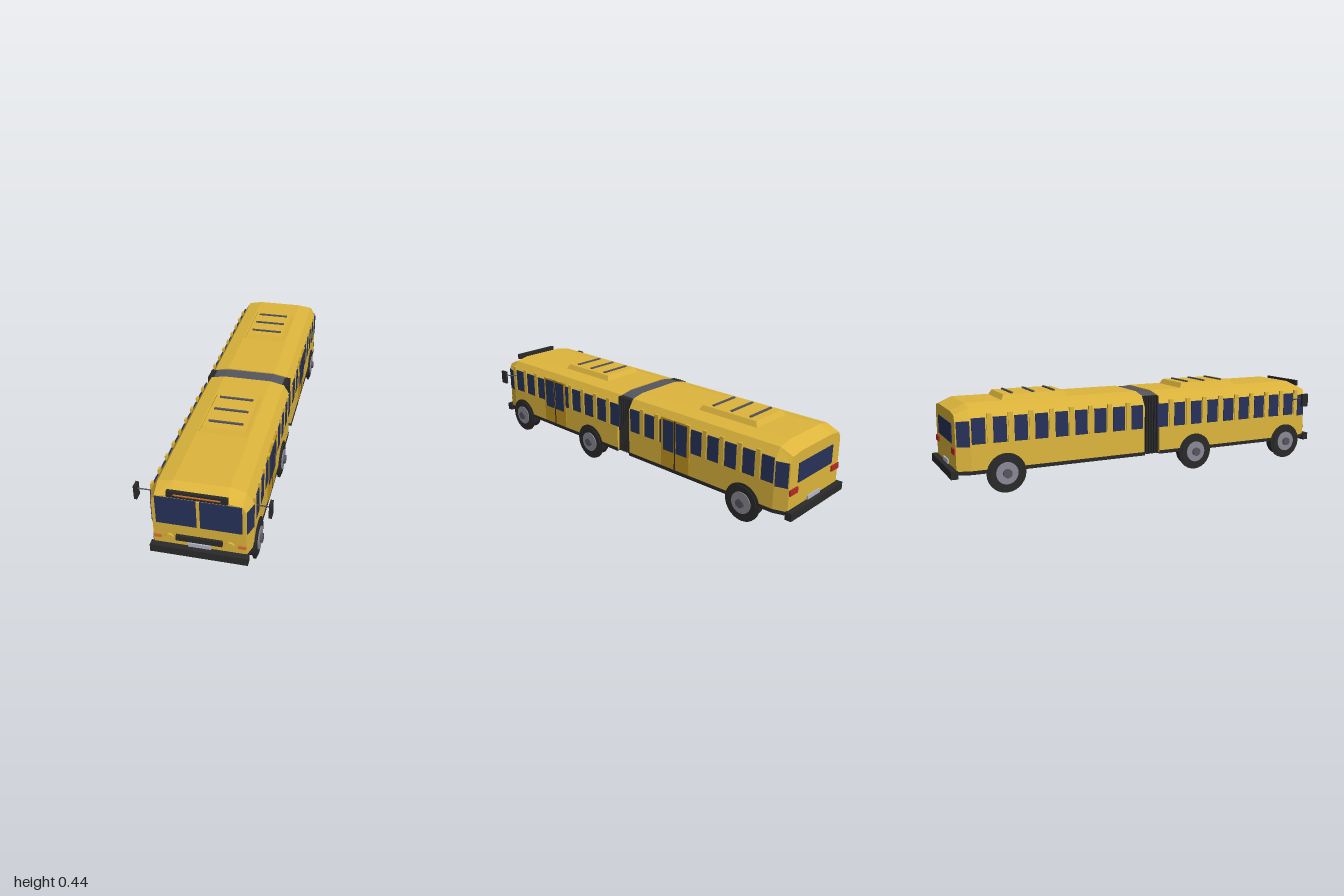
import * as THREE from 'three';

const material = (name, color) => {
  const m = new THREE.MeshStandardMaterial({ color });
  m.name = name;
  return m;
};

export function createModel() {
  const bus = new THREE.Group();
  bus.name = 'articulatedBus';
  const yellow = material('bodyYellow', 0xddb53c);
  const gold = material('doorGold', 0xc4961f);
  const glass = material('windowNavy', 0x27325a);
  const black = material('trimBlack', 0x2a2a2a);
  const silver = material('rimGrey', 0x8a8894);
  const grey = material('darkGrey', 0x55555f);
  const orange = material('signalOrange', 0xd9772f);
  const red = material('tailRed', 0xb32a25);
  const plate = material('plateGrey', 0xb2b6c2);

  const add = (name, geo, mat, x = 0, y = 0, z = 0) => {
    const mesh = new THREE.Mesh(geo, mat);
    mesh.name = name;
    mesh.position.set(x, y, z);
    bus.add(mesh);
    return mesh;
  };
  // Box given by its lower and upper corners
  const box = (name, mat, [x0, x1], [y0, y1], [z0, z1]) =>
    add(name, new THREE.BoxGeometry(x1 - x0, y1 - y0, z1 - z0), mat, (x0 + x1) / 2, (y0 + y1) / 2, (z0 + z1) / 2);

  // Faceted skin through mirrored half profiles, sections in ascending z
  const loft = (name, mat, sections) => {
    const rings = sections.map(([z, half]) => [
      ...half.map(([x, y]) => [x, y, z]),
      ...[...half].reverse().map(([x, y]) => [-x, y, z]),
    ]);
    const pos = [];
    const tri = (...pts) => pts.forEach((p) => pos.push(...p));
    const n = rings[0].length;
    for (let s = 0; s + 1 < rings.length; s++) {
      for (let i = 0; i < n; i++) {
        const j = (i + 1) % n, a = rings[s], b = rings[s + 1];
        tri(a[i], a[j], b[j]);
        tri(a[i], b[j], b[i]);
      }
    }
    const first = rings[0], last = rings[rings.length - 1];
    for (let i = 1; i < n - 1; i++) {
      tri(first[0], first[i + 1], first[i]);
      tri(last[0], last[i], last[i + 1]);
    }
    const geo = new THREE.BufferGeometry();
    geo.setAttribute('position', new THREE.Float32BufferAttribute(pos, 3));
    geo.computeVertexNormals();
    return add(name, geo, mat);
  };

  // Two body halves with tapered outer ends, plus dark floor pans
  const main = [[0.22, 0.105], [0.22, 0.345], [0.188, 0.397], [0.12, 0.411]];
  const end = [[0.2, 0.105], [0.2, 0.342], [0.185, 0.37], [0.12, 0.379]];
  const panMain = [[0.222, 0.1], [0.222, 0.117]];
  const panEnd = [[0.202, 0.1], [0.202, 0.117]];
  loft('frontBody', yellow, [[0.042, main], [0.908, main], [0.972, end]]);
  loft('rearBody', yellow, [[-0.972, end], [-0.908, main], [-0.042, main]]);
  loft('frontFloor', black, [[0.042, panMain], [0.908, panMain], [0.973, panEnd]]);
  loft('rearFloor', black, [[-0.973, panEnd], [-0.908, panMain], [-0.042, panMain]]);

  // Flexible joint: core, side ribs and turntable
  const joint = [[0.192, 0.102], [0.192, 0.385], [0.175, 0.396], [0.12, 0.406]];
  loft('jointCore', grey, [[-0.045, joint], [0.045, joint]]);
  for (const s of [-1, 1]) {
    for (let i = 0; i < 6; i++) {
      const rib = new THREE.BoxGeometry(0.036, 0.292, 0.009);
      add('jointRib', rib, black, s * 0.19, 0.248, -0.0375 + i * 0.015);
    }
  }
  box('turntable', grey, [-0.12, 0.12], [0.088, 0.102], [-0.057, 0.057]);

  // Side windows and pillars on both sides
  const pitch = 0.0985;
  for (const s of [-1, 1]) {
    for (const [start, dir, pillars] of [[0.896, -1, 9], [-0.134, -1, 9]]) {
      for (let k = 0; k < pillars; k++) {
        const z = start + dir * pitch * k;
        const zWin = start > 0 ? z - pitch / 2 : z + pitch / 2;
        add('sideWindow', new THREE.BoxGeometry(0.006, 0.118, 0.062), glass, s * 0.2195, 0.296, zWin);
        if (z > -0.9) add('windowPillar', new THREE.BoxGeometry(0.01, 0.137, 0.022), yellow, s * 0.2185, 0.3035, z);
      }
    }
    // Corner windows lie on the tapered ends
    for (const e of [-1, 1]) {
      const corner = add('cornerWindow', new THREE.BoxGeometry(0.006, 0.115, 0.058), glass, s * 0.2105, 0.285, e * 0.939);
      corner.rotation.y = -s * e * 0.303;
    }
  }

  // Double doors on the left side
  for (const z of [0.533, -0.352]) {
    box('door', gold, [0.214, 0.2245], [0.12, 0.371], [z - 0.088, z + 0.088]);
    box('doorSeam', black, [0.22, 0.2265], [0.122, 0.369], [z - 0.003, z + 0.003]);
    for (const d of [-1, 1]) {
      add('doorWindow', new THREE.BoxGeometry(0.006, 0.155, 0.066), glass, 0.223, 0.285, z + d * 0.041);
    }
  }

  // Wheels: arch ring, tyre, rim and hub
  const disc = (name, mat, r, x0, x1, s, z) => {
    const wheel = add(name, new THREE.CylinderGeometry(r, r, x1 - x0, 28), mat, (s * (x0 + x1)) / 2, 0.0925, z);
    wheel.rotation.z = Math.PI / 2;
  };
  for (const s of [-1, 1]) {
    for (const z of [0.83, 0.25, -0.75]) {
      disc('wheelArch', black, 0.0925, 0.215, 0.223, s, z);
      disc('tyre', black, 0.08, 0.166, 0.228, s, z);
      disc('rim', silver, 0.052, 0.2, 0.232, s, z);
      disc('hub', grey, 0.021, 0.22, 0.243, s, z);
    }
  }

  // Roof units with tapered sides and three vent bars
  for (const z of [0.3875, -0.5675]) {
    const geo = new THREE.BoxGeometry(0.23, 0.03, 0.338).toNonIndexed();
    const p = geo.attributes.position;
    for (let i = 0; i < p.count; i++) {
      if (p.getY(i) > 0) p.setXYZ(i, p.getX(i) * 0.87, p.getY(i), p.getZ(i) * 0.9);
    }
    geo.computeVertexNormals();
    add('roofUnit', geo, yellow, 0, 0.42, z);
    for (const d of [-1, 0, 1]) {
      add('roofVent', new THREE.BoxGeometry(0.162, 0.008, 0.01), grey, 0, 0.438, z + d * 0.105);
    }
  }

  // Front: windshield, destination sign, grille and plate
  for (const s of [-1, 1]) {
    add('windshield', new THREE.BoxGeometry(0.177, 0.138, 0.006), glass, s * 0.095, 0.3, 0.973);
    add('indicator', new THREE.BoxGeometry(0.035, 0.016, 0.008), orange, s * 0.1825, 0.1585, 0.974);
    const lamp = add('headlight', new THREE.CylinderGeometry(0.02, 0.02, 0.014, 16), yellow, s * 0.131, 0.157, 0.974);
    lamp.rotation.x = Math.PI / 2;
  }
  box('windshieldDivider', yellow, [-0.0065, 0.0065], [0.231, 0.37], [0.968, 0.98]);
  box('signBox', black, [-0.128, 0.128], [0.382, 0.411], [0.97, 0.985]);
  box('signText', orange, [-0.098, 0.098], [0.394, 0.4], [0.984, 0.988]);
  box('grille', black, [-0.1, 0.1], [0.152, 0.178], [0.968, 0.984]);

  // Rear window and tail lights
  box('rearWindow', glass, [-0.137, 0.137], [0.235, 0.325], [-0.976, -0.97]);
  for (const s of [-1, 1]) {
    add('tailLight', new THREE.BoxGeometry(0.06, 0.027, 0.009), red, s * 0.168, 0.205, -0.9745);
  }

  // Bumpers and number plates at both ends
  for (const e of [-1, 1]) {
    add('bumper', new THREE.BoxGeometry(0.424, 0.037, 0.032), black, 0, 0.1035, e * 0.984);
    add('numberPlate', new THREE.BoxGeometry(0.1, 0.02, 0.008), plate, 0, 0.131, e * 0.975);
  }

  // Mirrors on slim arms
  for (const s of [-1, 1]) {
    const from = new THREE.Vector3(s * 0.212, 0.318, 0.882);
    const to = new THREE.Vector3(s * 0.286, 0.335, 0.903);
    add('mirrorArm', new THREE.TubeGeometry(new THREE.LineCurve3(from, to), 1, 0.003, 6), grey);
    add('mirror', new THREE.BoxGeometry(0.013, 0.068, 0.038), black, s * 0.288, 0.324, 0.903);
  }

  return bus;
}
